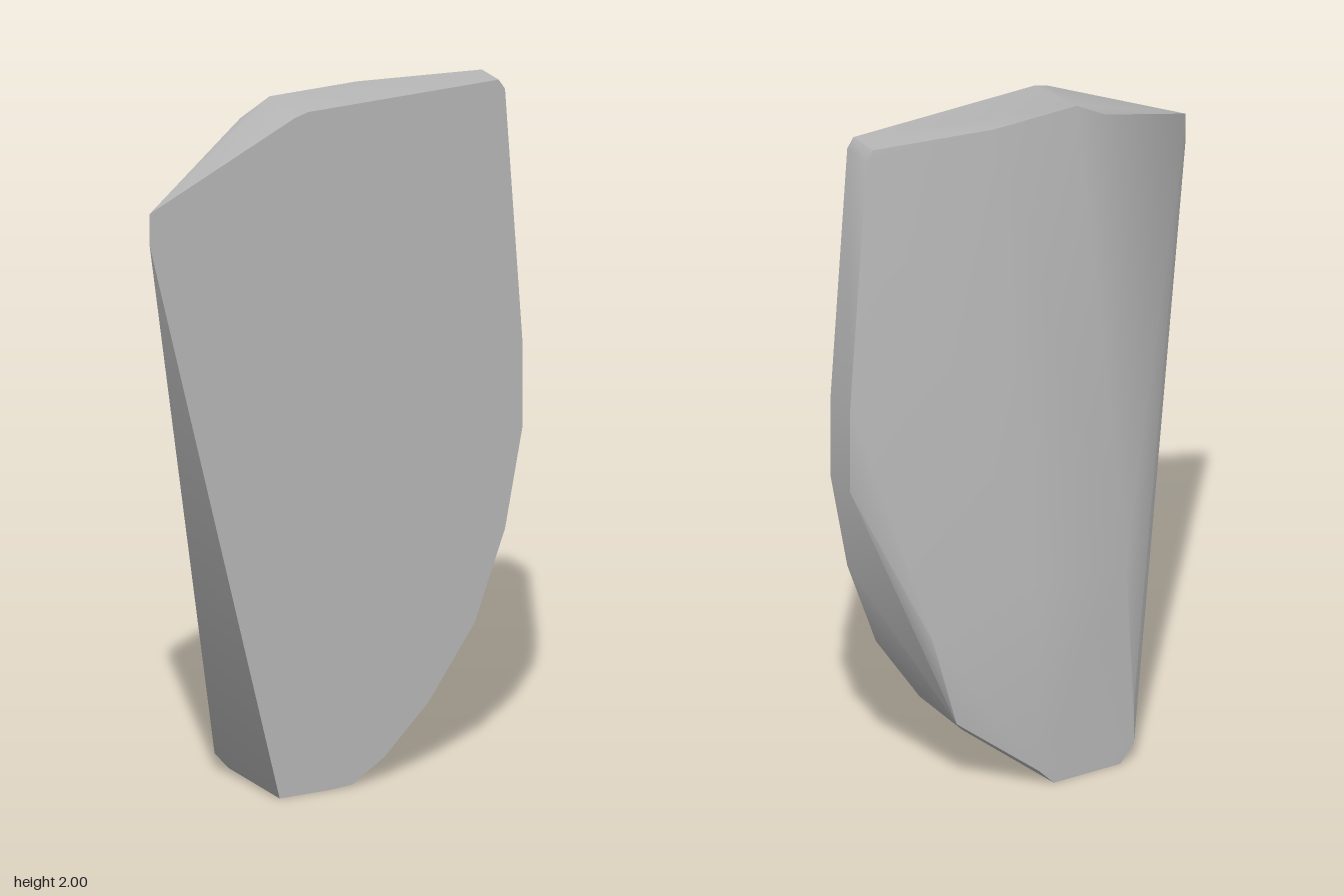
import * as THREE from 'three';
import { ConvexGeometry } from 'three/addons/geometries/ConvexGeometry.js';
import { toCreasedNormals } from 'three/addons/utils/BufferGeometryUtils.js';

export function createModel() {
  const group = new THREE.Group();
  group.name = 'taperedPanel';
  const grey = new THREE.MeshStandardMaterial({ color: 0xb8b8b8 });
  grey.name = 'light grey';

  // flat front outline, counter-clockwise from the bottom left
  const front = [
    [-0.18, 0], [-0.02, 0], [0.05, 0.005], [0.15, 0.07], [0.29, 0.21], [0.435, 0.42],
    [0.53, 0.68], [0.585, 0.97], [0.585, 1.22], [0.53, 1.97], [0.51, 2],
    [-0.09, 2], [-0.13, 1.99], [-0.59, 1.78], [-0.59, 1.69],
  ].map(([x, y]) => [x, y, 0.15]);

  // rear edge of the narrow side wall, top to bottom
  const sideEdge = [
    [0.51, 2, 0.05], [0.53, 1.97, 0.05], [0.585, 1.22, 0.05], [0.585, 0.96, 0.05],
    [0.39, 0.5, -0.07], [0.31, 0.22, -0.07], [0.09, 0.05, -0.15],
  ];

  // bulging back: thin at the top, full depth near the foot
  const back = [
    [0.155, 2, -0.022], [-0.12, 2, -0.022], [-0.21, 1.95, -0.025],
    [0.09, 0.62, -0.15], [-0.2, 0.62, -0.15],
    [-0.225, 0.17, -0.15], [-0.225, 0.05, -0.15], [-0.18, 0, -0.15], [0.04, 0, -0.15],
  ];

  const points = [...front, ...sideEdge, ...back].map((p) => new THREE.Vector3(...p));
  const body = new THREE.Mesh(toCreasedNormals(new ConvexGeometry(points), 0.6), grey);
  body.name = 'panelBody';
  group.add(body);
  return group;
}
